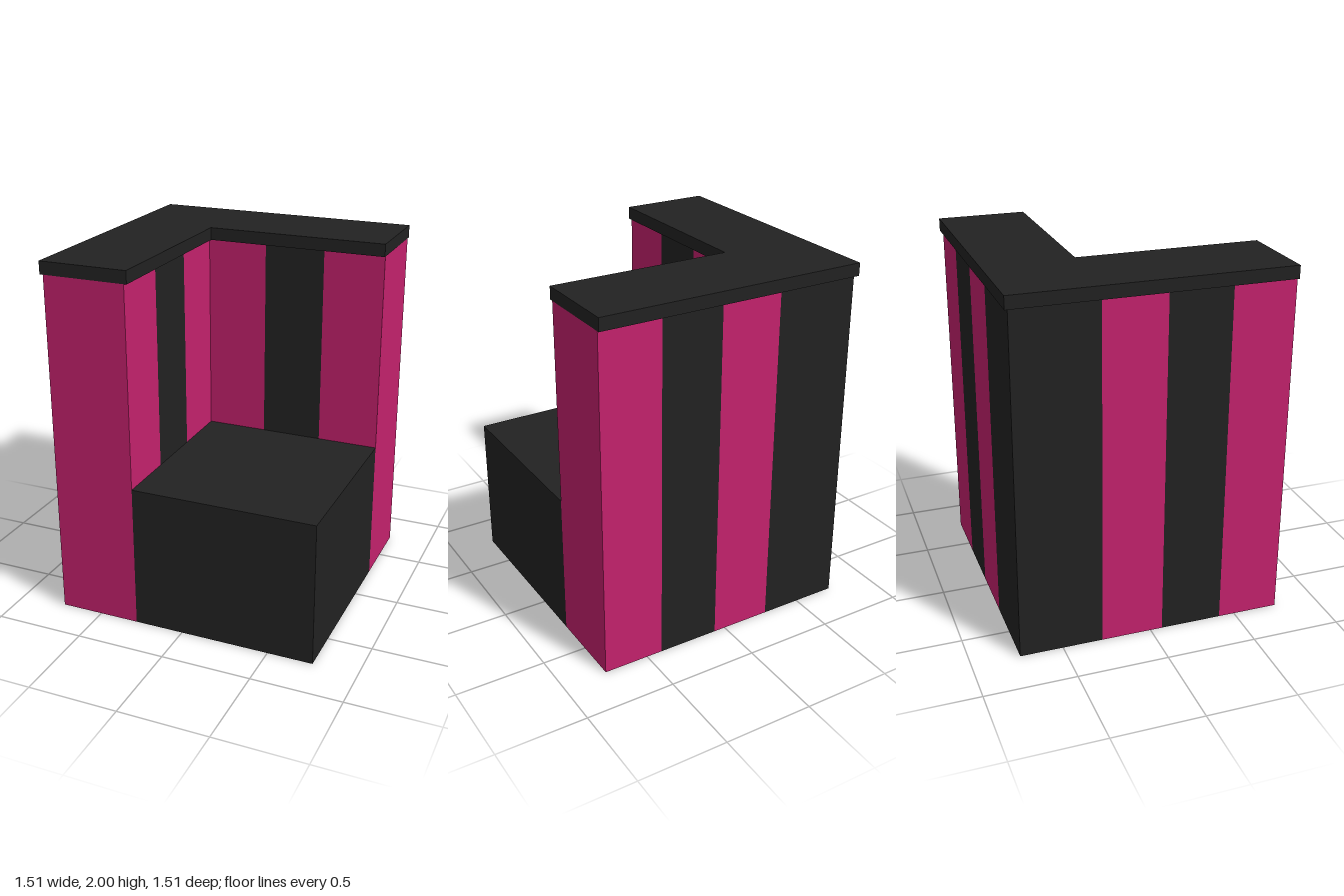
import * as THREE from 'three';

export function createModel() {
  const black = new THREE.MeshStandardMaterial({ color: 0x222222 });
  black.name = 'black';
  const pink = new THREE.MeshStandardMaterial({ color: 0xc4216d });
  pink.name = 'pink';

  const model = new THREE.Group();
  model.name = 'cornerBooth';

  // box given by its lower and upper corners
  function block(name, material, [x0, y0, z0], [x1, y1, z1]) {
    const mesh = new THREE.Mesh(new THREE.BoxGeometry(x1 - x0, y1 - y0, z1 - z0), material);
    mesh.position.set((x0 + x1) / 2, (y0 + y1) / 2, (z0 + z1) / 2);
    mesh.name = name;
    model.add(mesh);
  }

  const outer = -0.737, inner = -0.277, end = 0.753;
  const wallTop = 1.93, seatTop = 0.81;
  const panel = (end - inner) / 3;

  // seat cushion filling the open corner
  block('seat', black, [inner, 0, inner], [end, seatTop, end]);

  // corner post and striped panels running along both back walls
  block('cornerPost', black, [outer, 0, outer], [inner, wallTop, inner]);
  for (let i = 0; i < 3; i++) {
    const a = inner + i * panel, b = a + panel;
    const material = i === 1 ? black : pink;
    block('backPanel' + (i + 1), material, [a, 0, outer], [b, wallTop, inner]);
    block('sidePanel' + (i + 1), material, [outer, 0, a], [inner, wallTop, b]);
  }

  // L-shaped cap, slightly overhanging the walls
  const lo = -0.755, hi = 0.755, notch = -0.26;
  const outline = new THREE.Shape(
    [[lo, -lo], [lo, -hi], [notch, -hi], [notch, -notch], [hi, -notch], [hi, -lo]]
      .map(([x, y]) => new THREE.Vector2(x, y)));
  const capGeometry = new THREE.ExtrudeGeometry(outline, { depth: 2 - wallTop, bevelEnabled: false });
  capGeometry.rotateX(-Math.PI / 2);
  const cap = new THREE.Mesh(capGeometry, black);
  cap.position.y = wallTop;
  cap.name = 'topCap';
  model.add(cap);

  return model;
}
